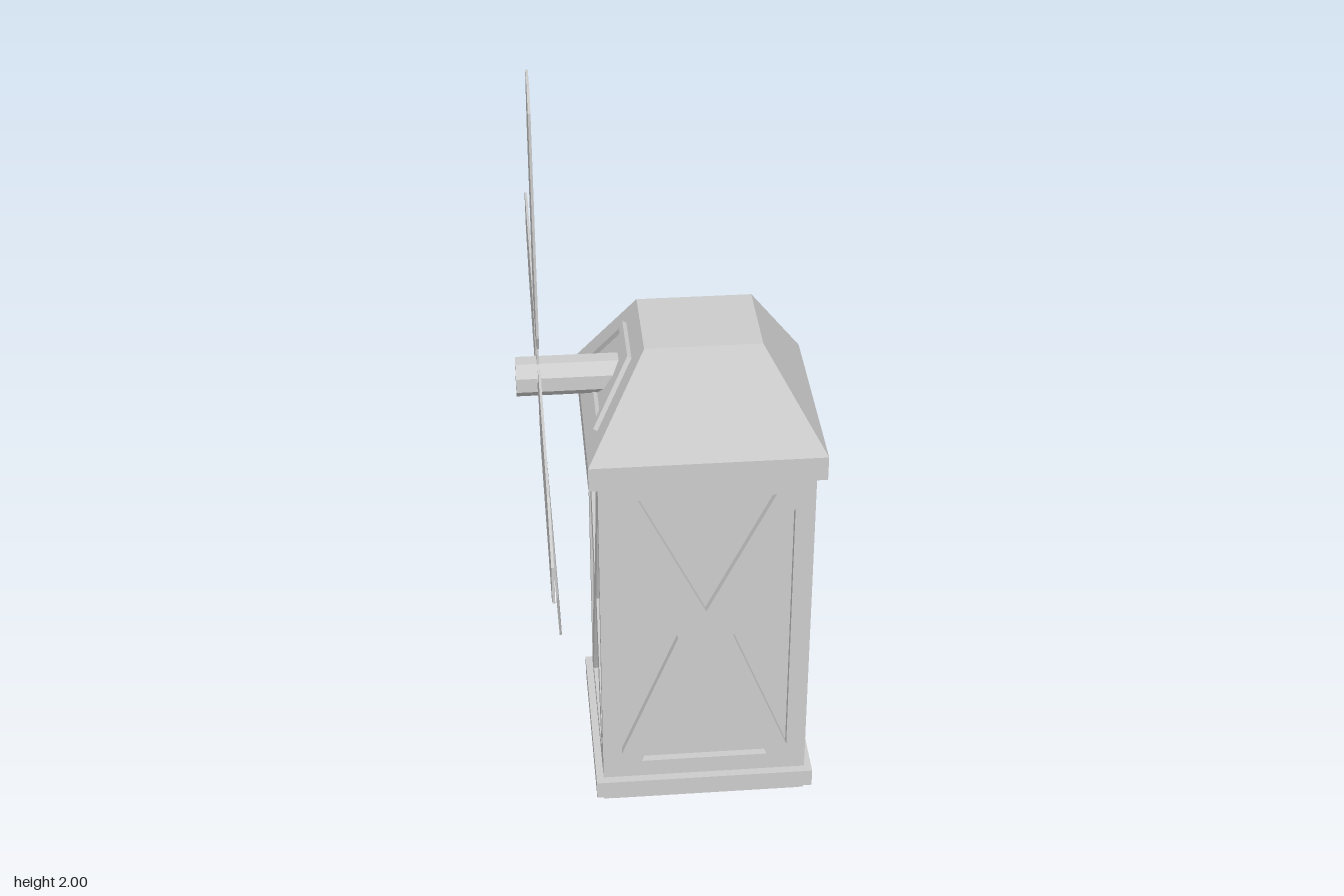
import * as THREE from 'three';

const CX = 0.08;                     // tower axis
const HX = 0.267, HZ = 0.243;        // tower half widths
const Y0 = 0.095, Y1 = 1.03;         // tower wall bottom and top
const RECESS = 0.02;
const HUB = [-0.315, 1.205, 0];

const material = new THREE.MeshStandardMaterial({ color: 0xcccccc, flatShading: true });

function add(parent, name, geometry) {
  const mesh = new THREE.Mesh(geometry, material);
  mesh.name = name;
  parent.add(mesh);
  return mesh;
}

// Box between two heights; the top may have its own half widths
function block(parent, name, hx, hz, y0, y1, topX = hx, topZ = hz) {
  const geo = new THREE.BoxGeometry(2 * hx, y1 - y0, 2 * hz);
  const p = geo.attributes.position;
  for (let i = 0; i < p.count; i++) {
    if (p.getY(i) > 0) {
      p.setX(i, Math.sign(p.getX(i)) * topX);
      p.setZ(i, Math.sign(p.getZ(i)) * topZ);
    }
  }
  geo.computeVertexNormals();
  const mesh = add(parent, name, geo);
  mesh.position.set(CX, (y0 + y1) / 2, 0);
  return mesh;
}

const toPoints = (list) => list.map(([x, y]) => new THREE.Vector2(x, y));

function plate(outline, holes, depth) {
  const shape = new THREE.Shape(toPoints(outline));
  for (const h of holes) shape.holes.push(new THREE.Path(toPoints(h)));
  return new THREE.ExtrudeGeometry(shape, { depth, bevelEnabled: false });
}

// Wall panel whose openings leave a frame with crossed braces
function bracedWall(half, side, top, bottom) {
  const outline = [[-half, Y0], [half, Y0], [half, Y1], [-half, Y1]];
  const mirrored = side.map(([x, y]) => [-x, y]);
  return plate(outline, [top, bottom, side, mirrored], RECESS);
}

export function createModel() {
  const model = new THREE.Group();
  model.name = 'windmill';

  // Stepped base and tower core
  block(model, 'baseFoot', 0.246, 0.222, 0, 0.02);
  block(model, 'baseStep', HX, HZ, 0.02, 0.045);
  block(model, 'baseLedge', 0.286, 0.265, 0.045, 0.095);
  block(model, 'towerCore', HX - RECESS, HZ - RECESS, Y0, Y1);

  // Front and back walls: lower opening has a blunt top
  const wide = bracedWall(HX,
    [[-0.217, 0.935], [-0.07, 0.55], [-0.217, 0.175]],
    [[-0.17, 0.98], [0.17, 0.98], [0, 0.63]],
    [[-0.165, 0.145], [0.165, 0.145], [0.045, 0.47], [0.02, 0.477], [-0.02, 0.477], [-0.045, 0.47]]);
  // Side walls: a plain X
  const narrow = bracedWall(HZ - RECESS,
    [[-0.213, 0.935], [-0.06, 0.55], [-0.213, 0.165]],
    [[-0.17, 1.0], [0.17, 1.0], [0, 0.585]],
    [[-0.17, 0.13], [0.17, 0.13], [0, 0.515]]);
  for (const s of [1, -1]) {
    const wall = add(model, s > 0 ? 'frontWall' : 'backWall', wide);
    wall.position.set(CX, 0, s * (HZ - RECESS));
    wall.rotation.y = s > 0 ? 0 : Math.PI;
    const sideWall = add(model, s > 0 ? 'leftWall' : 'rightWall', narrow);
    sideWall.position.set(CX + s * (HX - RECESS), 0, 0);
    sideWall.rotation.y = s * Math.PI / 2;
  }

  // Roof: eave and truncated pyramid
  block(model, 'eave', 0.29, 0.265, 1.03, 1.095);
  block(model, 'roof', 0.29, 0.265, 1.095, 1.335, 0.143, 0.12);

  // Window frame lying on the right roof slope
  const up = new THREE.Vector3(0.147, 0.24, 0).normalize();
  const out = new THREE.Vector3(-up.y, up.x, 0);
  const frame = add(model, 'roofWindowFrame', plate(
    [[-0.172, 0.055], [0.172, 0.055], [0.085, 0.228], [-0.085, 0.228]],
    [[[-0.142, 0.073], [0.142, 0.073], [0.073, 0.21], [-0.073, 0.21]]], 0.025));
  frame.quaternion.setFromRotationMatrix(
    new THREE.Matrix4().makeBasis(new THREE.Vector3(0, 0, 1), up, out));
  frame.position.set(CX - 0.29, 1.095, 0).addScaledVector(out, -0.013);

  // Eight-sided shaft
  const shaftGeo = new THREE.CylinderGeometry(0.049, 0.049, 0.29, 8);
  shaftGeo.rotateY(Math.PI / 8);
  shaftGeo.rotateZ(Math.PI / 2);
  add(model, 'shaft', shaftGeo).position.set(-0.225, 1.2, 0);

  // Four sails; the lower one leans in toward the tower
  const sailGeo = plate([
    [-0.02, 0], [0.02, 0], [0.02, 0.1], [0.09, 0.125], [0.11, 0.165], [0.11, 0.745],
    [0.08, 0.797], [-0.015, 0.797], [-0.08, 0.625], [-0.11, 0.155], [-0.085, 0.125], [-0.02, 0.1],
  ], [], 0.006);
  sailGeo.translate(0, 0, -0.003);
  sailGeo.rotateY(-Math.PI / 2);
  const sails = new THREE.Group();
  sails.name = 'sails';
  sails.position.set(...HUB);
  model.add(sails);
  for (let i = 0; i < 4; i++) {
    const sail = add(sails, 'sail', sailGeo);
    sail.rotation.set(i * Math.PI / 2, 0, i === 2 ? -0.042 : 0);
    if (i % 2) sail.scale.y = 1.026;
    if (i === 2) sail.scale.y = 1.01;
  }
  return model;
}
